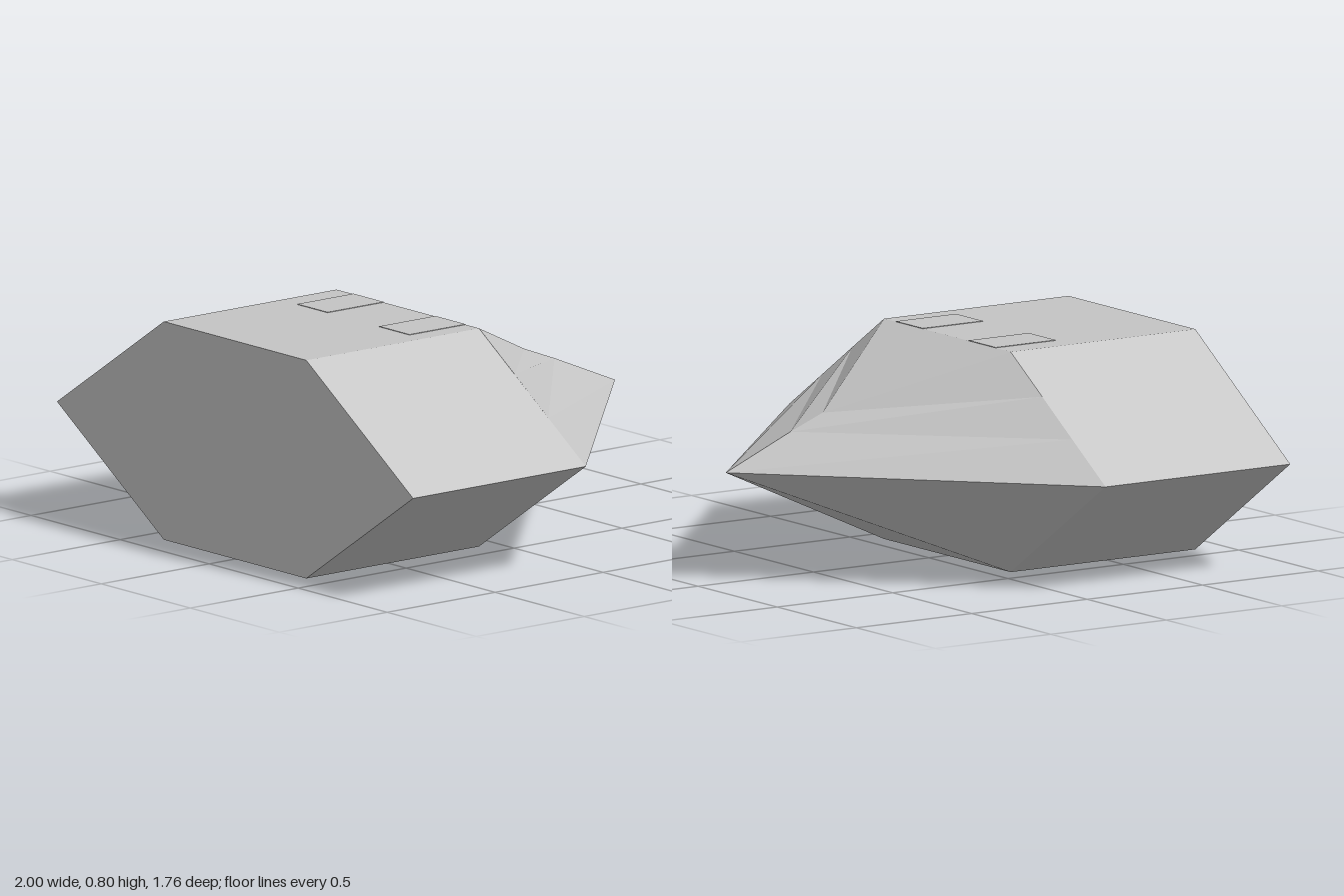
import * as THREE from 'three';

export function createModel() {
  const model = new THREE.Group();
  const grey = new THREE.MeshStandardMaterial({ color: 0xc4c4c4 });
  grey.name = 'light grey';
  grey.flatShading = true;

  const add = (geometry, name) => {
    const mesh = new THREE.Mesh(geometry, grey);
    mesh.name = name;
    model.add(mesh);
    return mesh;
  };

  // hexagonal front block
  const hexagon = new THREE.Shape([
    [-1, 0.4], [-0.4, 0], [0.4, 0], [1, 0.4], [0.4, 0.8], [-0.4, 0.8],
  ].map(([x, y]) => new THREE.Vector2(x, y)));
  const block = new THREE.ExtrudeGeometry(hexagon, { depth: 0.8, bevelEnabled: false });
  add(block.translate(0, 0, 0.08), 'frontBlock');

  // triangles from named corners; the mirrored copy swaps two corners
  const facets = (corners, triangles, side) => {
    const positions = [];
    for (const [a, b, c] of triangles) {
      for (const key of side > 0 ? [a, b, c] : [a, c, b]) {
        const [x, y, z] = corners[key];
        positions.push(x * side, y, z);
      }
    }
    const geometry = new THREE.BufferGeometry();
    geometry.setAttribute('position', new THREE.Float32BufferAttribute(positions, 3));
    geometry.computeVertexNormals();
    return geometry;
  };

  // tapered tail: ridge points run back to the tip, rim points follow the block edge
  const corners = {
    tip: [0, 0.4, -0.88],
    ridgeLow: [0, 0.52, -0.6],
    ridgeHigh: [0, 0.575, -0.46],
    topMiddle: [0, 0.8, 0.08],
    topCorner: [0.4, 0.8, 0.08],
    rimHigh: [0.6, 0.667, 0.08],
    rimLow: [0.79, 0.54, 0.08],
    sideCorner: [1, 0.4, 0.08],
    bottomCorner: [0.4, 0, 0.08],
    bottomMiddle: [0, 0, 0.08],
  };
  const upper = [
    ['ridgeHigh', 'topMiddle', 'topCorner'],
    ['ridgeHigh', 'topCorner', 'rimHigh'],
    ['ridgeHigh', 'rimHigh', 'ridgeLow'],
    ['ridgeLow', 'rimHigh', 'rimLow'],
    ['ridgeLow', 'rimLow', 'tip'],
    ['tip', 'rimLow', 'sideCorner'],
  ];
  const lower = [
    ['tip', 'sideCorner', 'bottomCorner'],
    ['tip', 'bottomCorner', 'bottomMiddle'],
  ];
  for (const [side, label] of [[1, 'left'], [-1, 'right']]) {
    add(facets(corners, upper, side), label + 'TailUpper');
    add(facets(corners, lower, side), label + 'TailLower');
  }

  // two nearly flush panels on the top
  for (const [x, label] of [[0.24, 'left'], [-0.22, 'right']]) {
    add(new THREE.BoxGeometry(0.17, 0.006, 0.26), label + 'TopPanel').position.set(x, 0.799, 0.21);
  }

  return model;
}
